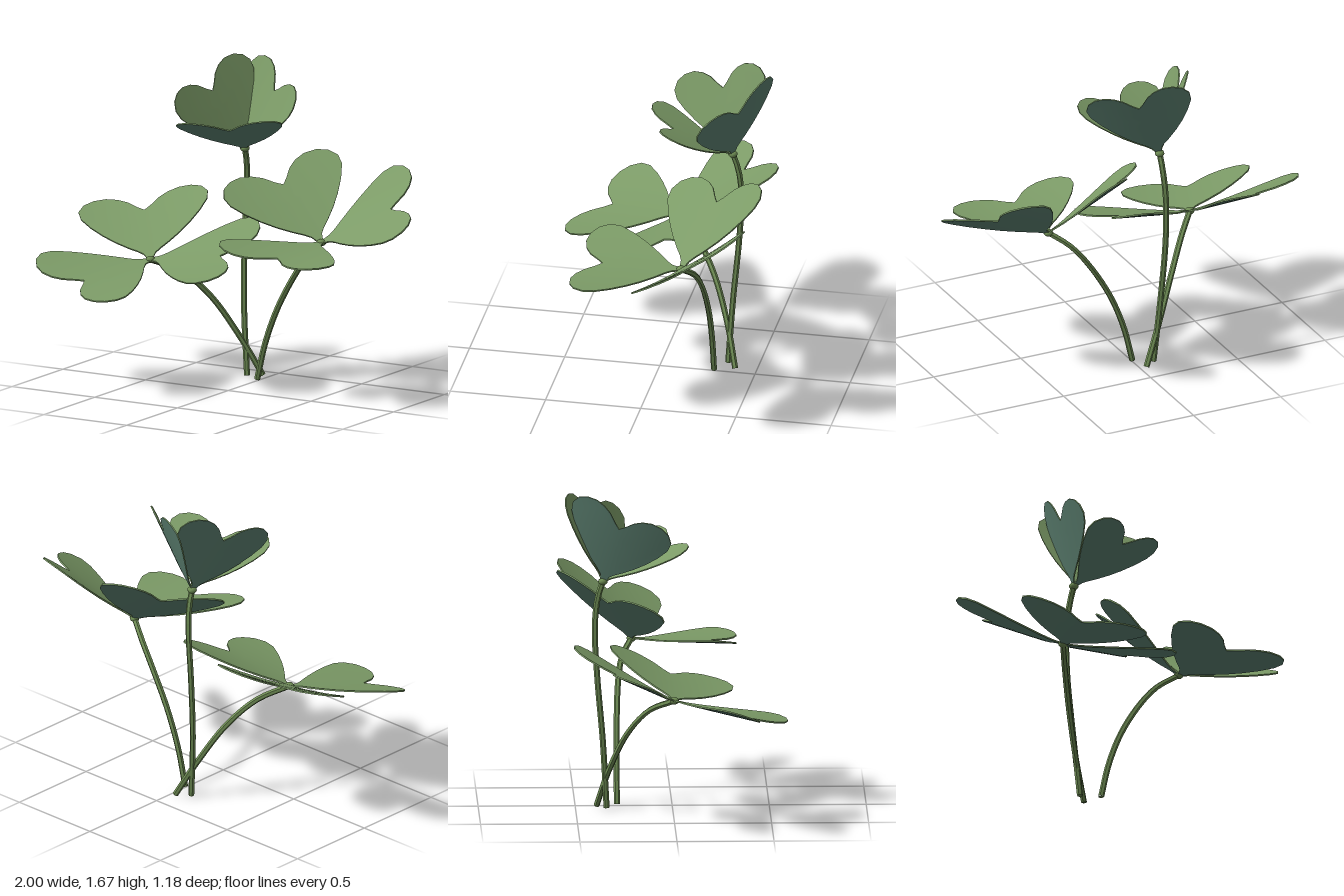
import * as THREE from 'three';

const V = (a) => new THREE.Vector3(...a);

// Half outline of a heart leaflet: [sideways, forward], from hub tip to notch
const HALF = [
  [0.012, 0.0], [0.03, 0.05], [0.06, 0.082], [0.1, 0.115], [0.168, 0.178], [0.228, 0.243],
  [0.285, 0.315], [0.33, 0.39], [0.338, 0.45], [0.308, 0.505], [0.255, 0.538], [0.19, 0.548],
  [0.13, 0.532], [0.08, 0.5], [0.035, 0.45], [0, 0.418],
];
const OUTLINE = [...HALF, ...HALF.slice(0, -1).reverse().map(([s, f]) => [-s, f])];
const RINGS = 5;
const CENTRE = 0.3;
const FOLD = 0.03;
const HALF_THICK = 0.004;
const STEM_RADIUS = 0.0155;
const STEM_SIDES = 6;

const curl = (x) => FOLD * (x / 0.33) ** 2;

function makeGeometry(pos, index) {
  const geo = new THREE.BufferGeometry();
  geo.setAttribute('position', new THREE.Float32BufferAttribute(pos, 3));
  geo.setIndex(index);
  geo.computeVertexNormals();
  return geo;
}

// One skin of the leaflet, along +z with edges curling up; side is 1 for the top, -1 for the underside
function skinGeometry(side) {
  const n = OUTLINE.length;
  const pos = [0, side * HALF_THICK, CENTRE];
  const index = [];
  for (let r = 1; r <= RINGS; r++) {
    const t = r / RINGS;
    for (const [s, f] of OUTLINE) {
      pos.push(s * t, curl(s * t) + side * HALF_THICK, CENTRE + (f - CENTRE) * t);
    }
  }
  const tri = (a, b, c) => (side < 0 ? index.push(a, b, c) : index.push(a, c, b));
  for (let i = 0; i < n; i++) {
    const j = (i + 1) % n;
    tri(0, 1 + i, 1 + j);
    for (let r = 0; r < RINGS - 1; r++) {
      const a = 1 + r * n, b = a + n;
      tri(a + i, b + i, b + j);
      tri(a + i, b + j, a + j);
    }
  }
  return makeGeometry(pos, index);
}

// Narrow wall joining the two skins around the outline
function rimGeometry() {
  const n = OUTLINE.length;
  const pos = [];
  const index = [];
  OUTLINE.forEach(([s, f], i) => {
    pos.push(s, curl(s) + HALF_THICK, f, s, curl(s) - HALF_THICK, f);
    const a = 2 * i, b = 2 * ((i + 1) % n);
    index.push(a, b, a + 1, b, b + 1, a + 1);
  });
  return makeGeometry(pos, index);
}

// Thin six-sided stem with flat facets
function stemGeometry(points) {
  const curve = new THREE.CatmullRomCurve3(points);
  const geo = new THREE.TubeGeometry(curve, 20, STEM_RADIUS, STEM_SIDES).toNonIndexed();
  geo.computeVertexNormals();
  return geo;
}

// Each sprig: stem path ending at the hub, then leaflets as [midrib, sideways] directions
const SPRIGS = [
  {
    name: 'leftSprig', scale: 1,
    path: [[-0.03, 0, -0.39], [-0.13, 0.2, -0.33], [-0.25, 0.42, -0.235], [-0.36, 0.56, -0.125], [-0.47, 0.63, 0]],
    leaves: [
      [[-0.245, 0.195, -0.335], [-0.5, -0.14, 0.38]],
      [[-0.175, -0.065, 0.39], [0.53, -0.11, 0.21]],
      [[0.47, 0.07, -0.015], [-0.1, 0.22, -0.64]],
    ],
  },
  {
    name: 'rightSprig', scale: 0.99,
    path: [[0, 0, -0.285], [0.05, 0.2, -0.285], [0.13, 0.4, -0.283], [0.25, 0.6, -0.272], [0.34, 0.71, -0.25], [0.44, 0.785, -0.2]],
    leaves: [
      [[-0.4, 0.32, -0.165], [-0.25, -0.22, 0.52]],
      [[0.4, 0.22, -0.135], [-0.32, 0.21, -0.47]],
      [[-0.01, -0.012, 0.416], [0.66, -0.055, 0]],
    ],
  },
  {
    name: 'tallSprig', scale: 0.825,
    path: [[-0.095, 0, -0.34], [-0.125, 0.35, -0.36], [-0.14, 0.7, -0.39], [-0.135, 0.95, -0.402], [-0.125, 1.1, -0.388], [-0.12, 1.19, -0.36]],
    leaves: [
      [[0.095, 0.17, 0.32], [0.43, -0.025, -0.27]],
      [[-0.155, 0.32, 0.085], [-0.07, -0.12, 0.27]],
      [[0.155, 0.33, -0.06], [-0.29, 0.13, -0.22]],
    ],
  },
];

export function createModel() {
  const mat = (name, color) => Object.assign(new THREE.MeshStandardMaterial({ color }), { name });
  const topGreen = mat('leafGreen', 0x7c9b67);
  const underGreen = mat('undersideGreen', 0x5f8474);
  const stemGreen = mat('stemGreen', 0x6e8c54);

  const topGeo = skinGeometry(1);
  const underGeo = skinGeometry(-1);
  const rimGeo = rimGeometry();
  const hubGeo = new THREE.SphereGeometry(0.025, 10, 8).scale(1, 0.75, 1);
  const capGeo = new THREE.CircleGeometry(STEM_RADIUS, STEM_SIDES).rotateX(Math.PI / 2);

  const model = new THREE.Group();
  model.name = 'cloverPlant';

  const add = (parent, name, geo, material) => {
    const mesh = new THREE.Mesh(geo, material);
    mesh.name = name;
    parent.add(mesh);
    return mesh;
  };

  for (const { name, scale, path, leaves } of SPRIGS) {
    const sprig = new THREE.Group();
    sprig.name = name;
    model.add(sprig);

    // Stem, its cut end and the knob where the leaflets meet
    const points = path.map(V);
    const hub = points[points.length - 1];
    add(sprig, 'stem', stemGeometry(points), stemGreen);
    add(sprig, 'stemEnd', capGeo, stemGreen).position.copy(points[0]);
    add(sprig, 'hub', hubGeo, stemGreen).position.copy(hub);

    // Leaflets, each in a frame made of its sideways, upward and midrib axes
    for (const [midrib, sideways] of leaves) {
      const z = V(midrib).normalize();
      const x = V(sideways).addScaledVector(z, -V(sideways).dot(z)).normalize();
      const y = new THREE.Vector3().crossVectors(z, x);
      const leaf = new THREE.Group();
      leaf.name = 'leaflet';
      leaf.quaternion.setFromRotationMatrix(new THREE.Matrix4().makeBasis(x, y, z));
      leaf.position.copy(hub);
      leaf.scale.setScalar(scale);
      add(leaf, 'leafTop', topGeo, topGreen);
      add(leaf, 'leafUnderside', underGeo, underGreen);
      add(leaf, 'leafRim', rimGeo, topGreen);
      sprig.add(leaf);
    }
  }
  return model;
}
